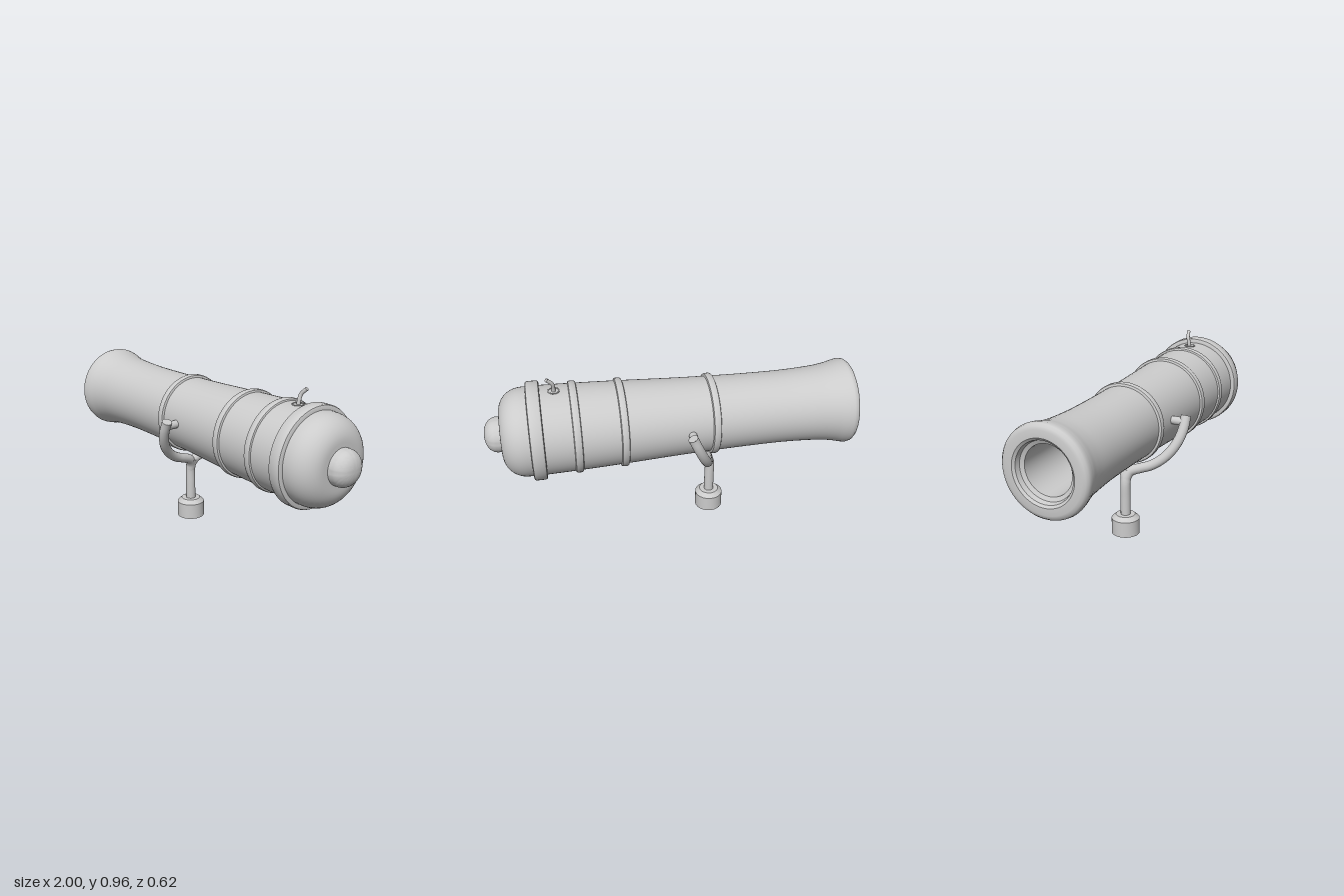
import * as THREE from 'three';
import { toCreasedNormals } from 'three/addons/utils/BufferGeometryUtils.js';

const AXIS_Y = 0.632;
const metal = new THREE.MeshStandardMaterial({ color: 0xcccccc, side: THREE.DoubleSide });
const v2 = ([a, b]) => new THREE.Vector2(a, b);
const v3 = (p) => new THREE.Vector3(...p);

function add(parent, name, geometry) {
  const mesh = new THREE.Mesh(geometry, metal);
  mesh.name = name;
  parent.add(mesh);
  return mesh;
}

// Turned part from [radius, height] points, keeping sharp edges
function turned(points, segments = 64) {
  return toCreasedNormals(new THREE.LatheGeometry(points.map(v2), segments), 0.6);
}

// Turned part lying along the barrel axis
function alongBarrel(parent, name, points) {
  const mesh = add(parent, name, turned(points));
  mesh.rotation.z = -Math.PI / 2;
  mesh.position.y = AXIS_Y;
}

// Round rod along a smooth path, with flat ends
function rod(parent, name, points, radius, segments = 48) {
  const curve = new THREE.CatmullRomCurve3(points.map(v3));
  add(parent, name, new THREE.TubeGeometry(curve, segments, radius, 16));
  for (const t of [0, 1]) {
    const cap = add(parent, name + 'End', new THREE.CircleGeometry(radius, 16));
    cap.position.copy(curve.getPointAt(t));
    const out = curve.getTangentAt(t).multiplyScalar(t ? 1 : -1);
    cap.quaternion.setFromUnitVectors(new THREE.Vector3(0, 0, 1), out);
  }
}

export function createModel() {
  const model = new THREE.Group();
  model.name = 'swivelCannon';

  // Barrel: bore, flared muzzle, swelling body, rounded breech
  const body = new THREE.SplineCurve([
    [0.236, -0.965], [0.231, -0.935], [0.219, -0.885], [0.208, -0.8], [0.2, -0.62],
    [0.201, -0.4], [0.206, -0.2], [0.213, 0], [0.226, 0.28], [0.235, 0.52], [0.24, 0.72],
  ].map(v2)).getPoints(50).map((p) => [p.x, p.y]);
  const breech = [];
  for (let i = 0; i <= 12; i++) {
    const a = (i / 12) * Math.PI / 2;
    breech.push([0.118 + 0.121 * Math.cos(a), 0.785 + 0.128 * Math.sin(a)]);
  }
  alongBarrel(model, 'barrel', [
    [0, -0.5], [0.128, -0.5], [0.128, -0.955], [0.148, -0.965], [0.155, -0.99],
    [0.168, -1], [0.205, -1], [0.222, -0.995], [0.232, -0.983],
    ...body, ...breech, [0, 0.913],
  ]);

  // Breech knob
  const knob = [[0.095, 0.9]];
  for (let i = 0; i <= 12; i++) {
    const a = (i / 12) * Math.PI / 2;
    knob.push([0.095 * Math.cos(a) ** 0.85, 0.93 + 0.07 * Math.sin(a)]);
  }
  alongBarrel(model, 'breechKnob', knob);

  // Reinforcing bands: position, outer radius, half width
  const bands = [[-0.215, 0.221, 0.021], [0.275, 0.24, 0.021], [0.52, 0.247, 0.022], [0.727, 0.265, 0.036]];
  for (const [x, r, w] of bands) {
    const c = 0.012;
    alongBarrel(model, 'band', [
      [r - 0.035, x - w], [r - c, x - w], [r - 0.3 * c, x - w + 0.3 * c], [r, x - w + c],
      [r, x + w - c], [r - 0.3 * c, x + w - 0.3 * c], [r - c, x + w], [r - 0.035, x + w],
    ]);
  }

  // Socket, open underneath, with a chamfered top
  const socket = add(model, 'socket', turned([[0.077, 0], [0.077, 0.088], [0.053, 0.11], [0, 0.11]], 32));
  socket.position.x = -0.224;

  // Post
  rod(model, 'post', [[-0.224, 0.1, 0], [-0.224, 0.2, 0], [-0.224, 0.29, 0], [-0.216, 0.325, 0], [-0.203, 0.36, 0]], 0.027, 24);

  // Leaning fork arms, branching from the post, with trunnions
  const leanX = (y) => -0.202 + (y - 0.36) * 0.44;
  for (const side of [1, -1]) {
    const path = [[-0.224, 0.29, 0], [-0.216, 0.325, side * 0.003], [-0.204, 0.357, side * 0.022]];
    for (let i = 2; i <= 11; i++) {
      const a = (i / 10) * 1.48;
      const y = 0.64 - 0.268 * Math.cos(a);
      path.push([leanX(y), y, side * 0.281 * Math.sin(a)]);
    }
    path.push([leanX(0.67), 0.67, side * 0.281]);
    rod(model, side > 0 ? 'frontForkArm' : 'backForkArm', path, 0.027, 64);
    rod(model, 'trunnion', [[-0.08, 0.64, side * 0.18], [-0.08, 0.64, side * 0.285]], 0.022, 2);
  }

  // Fuse and the rim of its vent
  rod(model, 'fuse', [[0.617, 0.85, -0.004], [0.617, 0.89, -0.01], [0.622, 0.92, -0.018], [0.65, 0.95, -0.027]], 0.01, 20);
  const vent = add(model, 'ventRim', new THREE.TorusGeometry(0.029, 0.003, 8, 32));
  vent.rotation.x = Math.PI / 2;
  vent.position.set(0.617, AXIS_Y + 0.2375, -0.004);

  return model;
}
